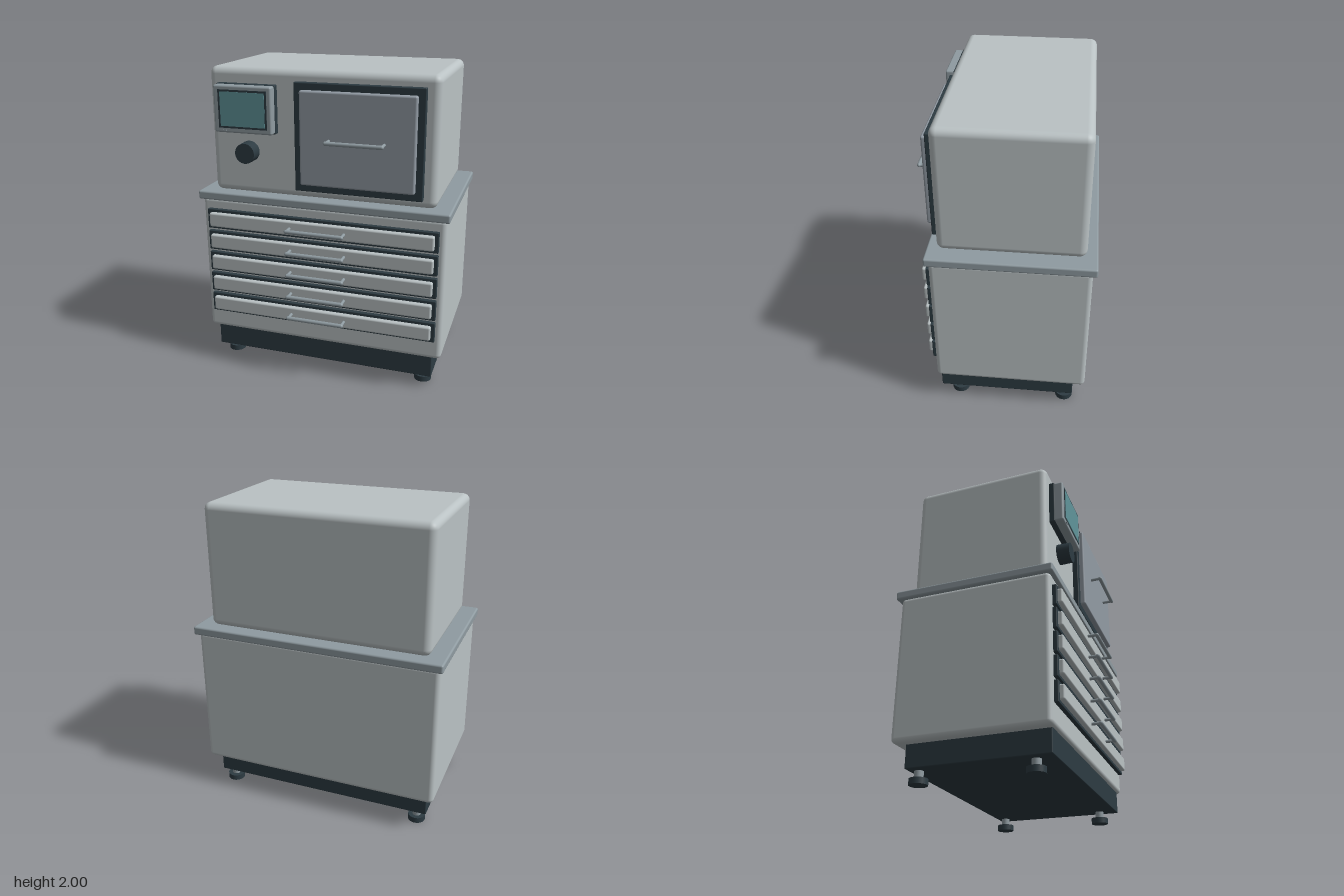
import * as THREE from 'three';
import { RoundedBoxGeometry } from 'three/addons/geometries/RoundedBoxGeometry.js';

const material = (name, color) => {
  const m = new THREE.MeshStandardMaterial({ color });
  m.name = name;
  return m;
};

export function createModel() {
  const model = new THREE.Group();
  model.name = 'ovenOnDrawerCabinet';

  const body = material('light grey paint', 0xbac2c4);
  const steel = material('brushed steel', 0x8f9ba1);
  const door = material('door grey', 0x929ba4);
  const dark = material('dark slate', 0x2d3b42);
  const glass = material('teal screen', 0x60949a);

  const add = (parent, name, geometry, mat) => {
    const mesh = new THREE.Mesh(geometry, mat);
    mesh.name = name;
    parent.add(mesh);
    return mesh;
  };

  // Box given by its extents along each axis, with optional rounded edges
  const block = (name, mat, [x0, x1], [y0, y1], [z0, z1], radius = 0, parent = model) => {
    const size = [x1 - x0, y1 - y0, z1 - z0];
    const geometry = radius
      ? new RoundedBoxGeometry(...size, 4, radius)
      : new THREE.BoxGeometry(...size);
    const mesh = add(parent, name, geometry, mat);
    mesh.position.set((x0 + x1) / 2, (y0 + y1) / 2, (z0 + z1) / 2);
    return mesh;
  };

  // Horizontal bar on two posts, standing off a front face at z
  const handle = (name, x, y, z, halfWidth, reach) => {
    const group = new THREE.Group();
    group.name = name;
    group.position.set(x, y, z);
    const bar = add(group, 'bar', new THREE.CapsuleGeometry(0.013, 2 * halfWidth - 0.026, 5, 16), steel);
    bar.rotation.z = Math.PI / 2;
    bar.position.z = reach;
    for (const side of [-1, 1]) {
      const post = add(group, 'post', new THREE.CylinderGeometry(0.01, 0.01, reach + 0.01, 14), steel);
      post.rotation.x = Math.PI / 2;
      post.position.set(side * (halfWidth - 0.014), 0, (reach - 0.01) / 2);
    }
    model.add(group);
  };

  // Main volumes
  block('plinth', dark, [-0.745, 0.745], [0.082, 0.24], [-0.456, 0.416], 0.006);
  block('cabinet', body, [-0.802, 0.802], [0.223, 1.16], [-0.532, 0.434], 0.03);
  block('countertop', steel, [-0.822, 0.822], [1.147, 1.203], [-0.559, 0.456], 0.012);
  block('upperCase', body, [-0.728, 0.728], [1.203, 2], [-0.493, 0.394], 0.045);

  // Levelling feet
  for (const x of [-0.672, 0.672]) {
    for (const z of [-0.4, 0.302]) {
      const foot = new THREE.Group();
      foot.name = 'foot';
      foot.position.set(x, 0, z);
      add(foot, 'pad', new THREE.CylinderGeometry(0.056, 0.056, 0.037, 28), dark).position.y = 0.0185;
      add(foot, 'stem', new THREE.CylinderGeometry(0.028, 0.028, 0.06, 20), steel).position.y = 0.06;
      model.add(foot);
    }
  }

  // Five shallow drawers
  for (let i = 0; i < 5; i++) {
    const y = 1.021 - i * 0.1495;
    block('drawerFrame', dark, [-0.761, 0.761], [y - 0.066, y + 0.066], [0.425, 0.459], 0.005);
    block('drawerFront', body, [-0.738, 0.738], [y - 0.047, y + 0.047], [0.44, 0.488], 0.012);
    handle('drawerHandle', 0, y, 0.488, 0.193, 0.058);
  }

  // Chamber door
  block('doorFrame', dark, [-0.155, 0.648], [1.258, 1.93], [0.38, 0.43], 0.006);
  block('doorPanel', door, [-0.111, 0.604], [1.306, 1.887], [0.41, 0.464], 0.012);
  handle('doorHandle', 0.247, 1.595, 0.464, 0.184, 0.065);

  // Control display
  block('displayBase', dark, [-0.664, -0.276], [1.604, 1.904], [0.38, 0.43], 0.008);
  block('displayBezel', steel, [-0.66, -0.28], [1.608, 1.9], [0.42, 0.484], 0.012);
  block('screenBorder', dark, [-0.629, -0.309], [1.638, 1.874], [0.48, 0.486]);
  block('screen', glass, [-0.616, -0.322], [1.65, 1.862], [0.481, 0.488]);
  block('displayButton', steel, [-0.605, -0.578], [1.62, 1.628], [0.48, 0.489]);

  // Rotary knob
  const knob = add(model, 'knob', new THREE.CylinderGeometry(0.064, 0.066, 0.095, 36), dark);
  knob.rotation.x = Math.PI / 2;
  knob.position.set(-0.47, 1.48, 0.43);

  return model;
}
